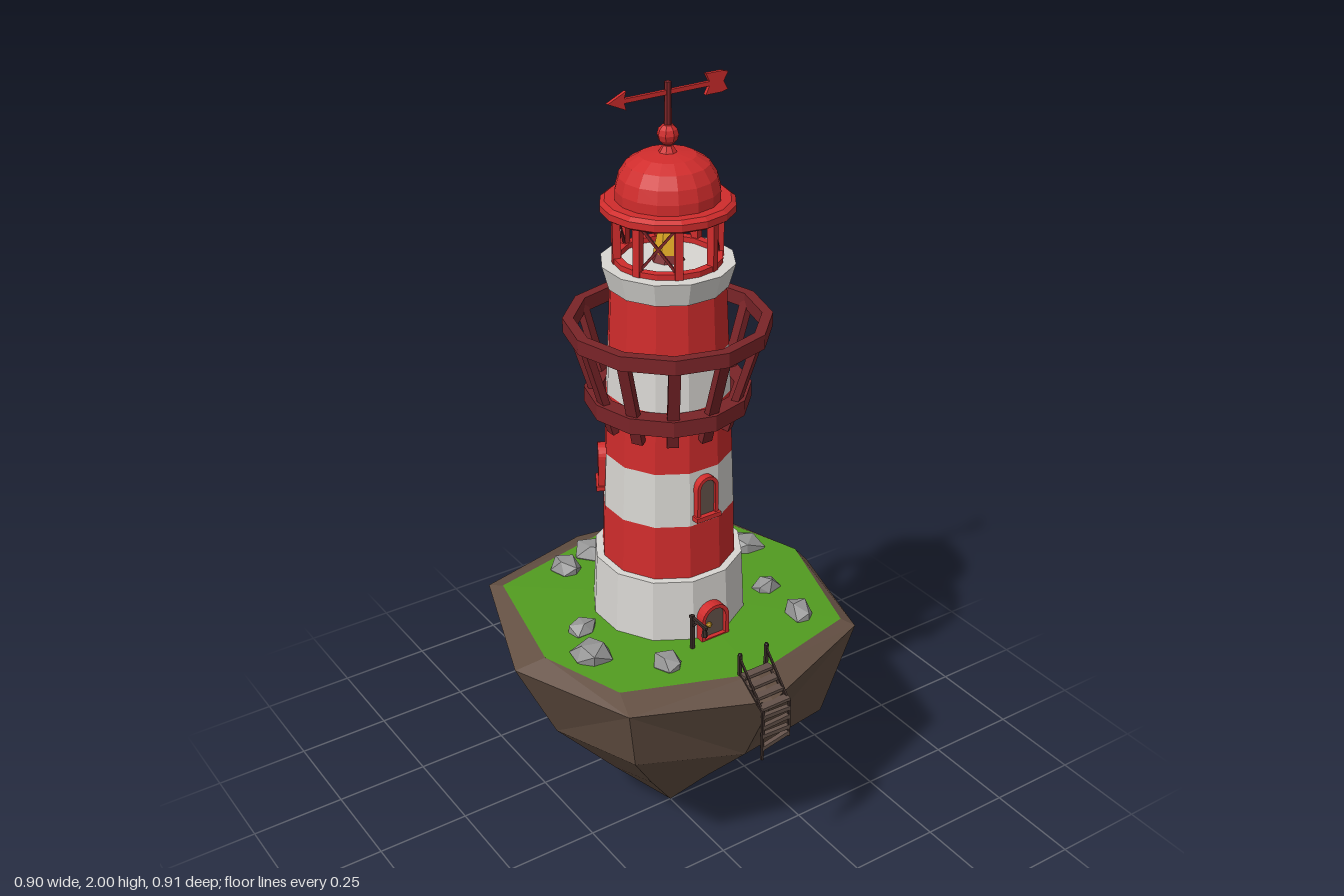
import * as THREE from 'three';

const mat = (name, color, side = THREE.FrontSide) => {
  const m = new THREE.MeshStandardMaterial({ color, flatShading: true, side });
  m.name = name;
  return m;
};

export function createModel() {
  const red = mat('red paint', 0xd02c2c);
  const darkRed = mat('dark red paint', 0x7a2428);
  const white = mat('white paint', 0xd8d6d2);
  const grass = mat('grass', 0x529c20);
  const earth = mat('earth', 0x645043);
  const stone = mat('stone', 0x949494);
  const wood = mat('wood', 0x64524a);
  const iron = mat('iron', 0x3c2e2a);
  const gold = mat('gold', 0xdca622);

  const model = new THREE.Group();
  model.name = 'islandLighthouse';
  const V = (x, y, z) => new THREE.Vector3(x, y, z);
  const SIDES = 12;

  const add = (parent, name, geo, material, x = 0, y = 0, z = 0) => {
    const m = new THREE.Mesh(geo, material);
    m.name = name;
    m.position.set(x, y, z);
    parent.add(m);
    return m;
  };
  const group = (parent, name, x = 0, y = 0, z = 0, turn = 0) => {
    const g = new THREE.Group();
    g.name = name;
    g.position.set(x, y, z);
    g.rotation.y = turn;
    parent.add(g);
    return g;
  };
  // Box bar running from a to b
  const beam = (parent, name, a, b, w, h, material) => {
    const m = new THREE.Mesh(new THREE.BoxGeometry(w, h, a.distanceTo(b)), material);
    m.name = name;
    m.position.copy(a).lerp(b, 0.5);
    m.lookAt(b);
    parent.add(m);
  };
  // Tower band between two heights, with a flat face to the front
  const band = (parent, name, r0, r1, y0, y1, material) =>
    add(parent, name, new THREE.CylinderGeometry(r1, r0, y1 - y0, SIDES).rotateY(Math.PI / SIDES), material, 0, (y0 + y1) / 2);
  // Square-section ring
  const ring = (parent, name, ri, ro, y0, y1, material, sides = SIDES) =>
    add(parent, name, new THREE.LatheGeometry(
      [[ri, y0], [ro, y0], [ro, y1], [ri, y1], [ri, y0]].map(p => new THREE.Vector2(...p)), sides), material);
  const triangles = pts => {
    const g = new THREE.BufferGeometry().setFromPoints(pts);
    g.computeVertexNormals();
    return g;
  };

  // Floating island: outline rings from the grass edge down to the tip
  const edge = [[0.06, -0.385], [0.327, -0.27], [0.415, -0.02], [0.31, 0.305], [0, 0.375], [-0.315, 0.255], [-0.39, 0.035], [-0.32, -0.3]];
  const rim = [[0, -0.457], [0.337, -0.345], [0.45, -0.01], [0.337, 0.33], [0, 0.44], [-0.337, 0.33], [-0.45, -0.01], [-0.337, -0.345]];
  const shrink = (scales, heights) => rim.map(([x, z], i) => V(x * scales[i], heights[i], z * scales[i]));
  const rings = [
    edge.map(([x, z]) => V(x, 0.652, z)),
    rim.map(([x, z], i) => V(x, i % 2 ? 0.635 : 0.61, z)),
    shrink([0.86, 0.8, 0.91, 0.84, 0.76, 0.88, 0.76, 0.84], [0.42, 0.46, 0.42, 0.36, 0.38, 0.45, 0.38, 0.4]),
    shrink([0.43, 0.52, 0.44, 0.36, 0.39, 0.5, 0.39, 0.42], [0.2, 0.27, 0.2, 0.17, 0.2, 0.25, 0.19, 0.2]),
    shrink(Array(8).fill(0), Array(8).fill(0)),
  ];
  const sidePts = [], topPts = [];
  for (let i = 0; i < 8; i++) {
    const j = (i + 1) % 8;
    topPts.push(V(0.03, 0.662, 0), rings[0][j], rings[0][i]);
    for (let k = 0; k < 4; k++) {
      const a = rings[k], b = rings[k + 1];
      if (k === 3) sidePts.push(a[i], a[j], b[i]);
      else if ((i + k) % 2) sidePts.push(a[i], a[j], b[i], a[j], b[j], b[i]);
      else sidePts.push(a[i], a[j], b[j], a[i], b[j], b[i]);
    }
  }
  const island = group(model, 'island');
  add(island, 'cliff', triangles(sidePts), earth);
  add(island, 'grassTop', triangles(topPts), grass);

  // Boulders: x, z, half width, half depth, turn
  [[-0.145, -0.27, 0.038, 0.046, 0.2], [-0.045, -0.295, 0.044, 0.054, 0.5], [0.155, -0.23, 0.036, 0.034, 1],
    [0.305, -0.107, 0.06, 0.045, -0.3], [0.235, 0.09, 0.032, 0.042, 2], [0.235, 0.23, 0.034, 0.05, 0.1],
    [-0.16, 0.23, 0.034, 0.042, 0.4], [-0.295, 0.098, 0.054, 0.046, -0.4], [-0.255, -0.015, 0.036, 0.038, 1.4],
  ].forEach(([x, z, w, d, turn], i) => {
    const g = new THREE.IcosahedronGeometry(1, 0);
    const p = g.attributes.position;
    for (let n = 0; n < p.count; n++) {
      const s = 1 + 0.14 * Math.sin(5 * p.getX(n) + 7 * p.getY(n) + 3 * p.getZ(n) + i);
      p.setXYZ(n, p.getX(n) * s, p.getY(n) * s, p.getZ(n) * s);
    }
    const rock = add(island, 'boulder', g, stone, x, 0.657, z);
    rock.scale.set(w, (w + d) * 0.42, d);
    rock.rotation.y = turn;
  });

  // Striped tower
  const tower = group(model, 'tower', 0, 0, -0.01);
  band(tower, 'base', 0.195, 0.186, 0.64, 0.82, white);
  band(tower, 'lowerRedBand', 0.167, 0.163, 0.82, 0.963, red);
  band(tower, 'middleWhiteBand', 0.163, 0.157, 0.963, 1.105, white);
  band(tower, 'middleRedBand', 0.157, 0.151, 1.105, 1.265, red);
  band(tower, 'upperWhiteBand', 0.151, 0.145, 1.265, 1.385, white);
  band(tower, 'upperRedBand', 0.145, 0.138, 1.385, 1.53, red);
  band(tower, 'lanternSill', 0.142, 0.158, 1.53, 1.587, white);

  // Gallery with slanted struts
  const gallery = group(tower, 'gallery');
  ring(gallery, 'galleryFloorRing', 0.158, 0.2, 1.228, 1.268, darkRed);
  ring(gallery, 'galleryRail', 0.22, 0.246, 1.41, 1.446, darkRed);
  for (let i = 0; i < 12; i++) {
    const bay = group(gallery, 'strut', 0, 0, 0, i * Math.PI / 6);
    beam(bay, 'strutBar', V(0, 1.185, 0.155), V(0, 1.425, 0.228), 0.028, 0.018, darkRed);
  }

  // Arched openings: frame, pane and sill
  const arch = (Type, w, y0, h) => {
    const s = new Type();
    s.moveTo(-w, y0);
    s.lineTo(w, y0);
    s.lineTo(w, h - w);
    s.absarc(0, h - w, w, 0, Math.PI, false);
    return s;
  };
  const opening = (parent, name, w, h, depth, border) => {
    const shape = arch(THREE.Shape, w, 0, h);
    shape.holes.push(arch(THREE.Path, w - border, border, h - border));
    const opts = { bevelEnabled: false, curveSegments: 6 };
    add(parent, name + 'Frame', new THREE.ExtrudeGeometry(shape, { ...opts, depth }), red);
    add(parent, name + 'Pane', new THREE.ExtrudeGeometry(arch(THREE.Shape, w - border, border, h - border),
      { ...opts, depth: depth * 0.75 }), wood);
  };
  [[0, 0.98], [1, 0.93], [2, 1.0]].forEach(([k, y]) => {
    const turn = k * Math.PI * 2 / 3;
    const win = group(tower, 'window', 0.145 * Math.sin(turn), y, 0.145 * Math.cos(turn), turn);
    opening(win, 'window', 0.03, 0.112, 0.026, 0.009);
    add(win, 'windowSill', new THREE.BoxGeometry(0.07, 0.012, 0.034), red, 0, 0.004, 0.015);
  });
  const door = group(tower, 'door', 0, 0.65, 0.165);
  opening(door, 'door', 0.04, 0.1, 0.045, 0.01);
  add(door, 'doorKnob', new THREE.IcosahedronGeometry(0.008, 0), gold, -0.015, 0.045, 0.038);

  // Lantern room
  const lantern = group(tower, 'lanternRoom');
  ring(lantern, 'lanternFootRing', 0.108, 0.128, 1.587, 1.6, red, 16);
  for (let i = 0; i < 8; i++) {
    const post = group(lantern, 'lanternPost', 0, 0, 0, (i + 0.5) * Math.PI / 4);
    beam(post, 'lanternPostBar', V(0, 1.587, 0.12), V(0, 1.715, 0.12), 0.018, 0.018, red);
    if (i % 2) {
      const panel = group(lantern, 'crossBrace', 0, 0, 0, i * Math.PI / 4);
      for (const s of [-1, 1]) beam(panel, 'braceBar', V(-0.044 * s, 1.597, 0.11), V(0.044 * s, 1.708, 0.11), 0.006, 0.006, darkRed);
    }
  }
  add(lantern, 'lampFoot', new THREE.CylinderGeometry(0.03, 0.04, 0.02, 8), darkRed, 0, 1.597, 0);
  add(lantern, 'lamp', new THREE.CylinderGeometry(0.016, 0.034, 0.085, 6), gold, 0, 1.648, 0);

  // Domed roof, ball and weather vane
  const roof = group(tower, 'roof');
  const lathe = (pts, sides) => new THREE.LatheGeometry(pts.map(p => new THREE.Vector2(...p)), sides);
  add(roof, 'roofRim', lathe([[0, 1.705], [0.145, 1.705], [0.156, 1.712], [0.156, 1.728], [0.145, 1.736], [0, 1.736]], 16), darkRed.clone && red);
  add(roof, 'dome', lathe([[0.121, 1.73], [0.121, 1.76], [0.113, 1.79], [0.095, 1.818], [0.065, 1.836], [0.025, 1.842], [0, 1.843]], 16), red);
  add(roof, 'vanePole', new THREE.CylinderGeometry(0.008, 0.01, 0.16, 8), darkRed, 0, 1.92, 0);
  add(roof, 'poleCollar', new THREE.CylinderGeometry(0.012, 0.022, 0.016, 8), red, 0, 1.849, 0);
  add(roof, 'ball', new THREE.SphereGeometry(0.025, 8, 6), red, 0, 1.882, 0);
  const arrow = new THREE.Shape([[-0.157, 0], [-0.11, -0.021], [-0.115, -0.005], [0.108, -0.005], [0.098, -0.024], [0.142, -0.024],
    [0.158, -0.02], [0.146, 0], [0.158, 0.02], [0.142, 0.024], [0.098, 0.024], [0.108, 0.005], [-0.115, 0.005], [-0.11, 0.021],
  ].map(p => new THREE.Vector2(...p)));
  add(roof, 'vaneArrow', new THREE.ExtrudeGeometry(arrow, { depth: 0.009, bevelEnabled: false }), red, 0, 1.977, -0.0045);

  // Hanging lamp on a post beside the door
  const sign = group(model, 'lampPost', -0.073, 0, 0);
  beam(sign, 'post', V(0, 0.65, 0.205), V(0, 0.752, 0.205), 0.009, 0.009, iron);
  beam(sign, 'arm', V(0, 0.745, 0.195), V(0, 0.745, 0.265), 0.007, 0.007, iron);
  beam(sign, 'armBrace', V(0, 0.72, 0.205), V(0, 0.745, 0.23), 0.005, 0.005, iron);
  add(sign, 'hangingLamp', new THREE.CylinderGeometry(0.005, 0.008, 0.022, 6), iron, 0, 0.73, 0.256);

  // Plank steps and hanging ladder over the cliff edge
  const ladder = group(model, 'ladder');
  for (const x of [-0.039, 0.039]) {
    const end = x < 0 ? 0.46 : 0.5;
    beam(ladder, 'ladderPost', V(x, 0.64, 0.355), V(x, 0.71, 0.355), 0.008, 0.008, iron);
    add(ladder, 'postKnob', new THREE.IcosahedronGeometry(0.006, 0), iron, x, 0.71, 0.355);
    beam(ladder, 'handRope', V(x, 0.7, 0.355), V(x, 0.6, 0.45), 0.005, 0.005, iron);
    beam(ladder, 'slopeRope', V(x, 0.655, 0.36), V(x, 0.6, 0.45), 0.006, 0.006, iron);
    beam(ladder, 'hangingRope', V(x, 0.605, 0.451), V(x, end, 0.453), 0.006, 0.006, iron);
  }
  for (let i = 0; i < 4; i++)
    add(ladder, 'step', new THREE.BoxGeometry(0.082, 0.008, 0.021), wood, 0, 0.656 - 0.016 * i, 0.371 + 0.024 * i);
  for (let i = 0; i < 4; i++) {
    const rung = add(ladder, 'rung', new THREE.BoxGeometry(0.08, 0.011, 0.012), wood, 0, 0.585 - 0.028 * i, 0.45);
    rung.rotation.z = i === 3 ? 0.2 : 0.04 * (i % 2 ? 1 : -1);
  }
  return model;
}
